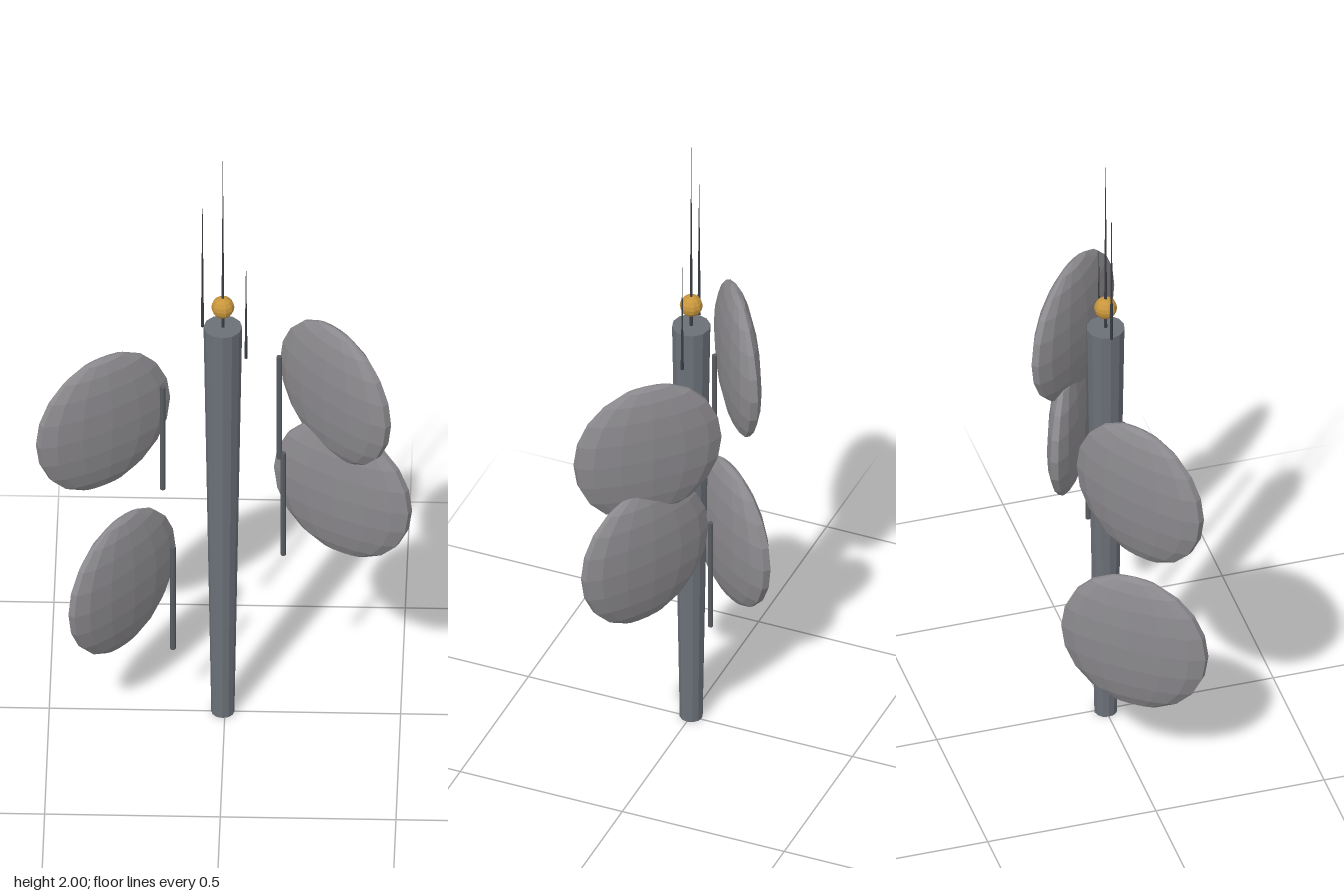
import * as THREE from 'three';

const material = (name, color) => {
  const m = new THREE.MeshStandardMaterial({ color, flatShading: true });
  m.name = name;
  return m;
};

export function createModel() {
  const group = new THREE.Group();
  const trunkGrey = material('blue grey', 0x6b7078);
  const discGrey = material('warm grey', 0x8b898d);
  const rodGrey = material('dark grey', 0x585b60);
  const needleGrey = material('charcoal', 0x3a3d42);
  const gold = material('gold', 0xc8963c);

  const add = (name, geometry, mat, x, y) => {
    const mesh = new THREE.Mesh(geometry, mat);
    mesh.name = name;
    mesh.position.set(x, y, 0);
    group.add(mesh);
    return mesh;
  };

  // Tapered trunk, wider at the top, with a ball floating above it
  const axis = -0.006;
  add('trunk', new THREE.CylinderGeometry(0.055, 0.033, 1.37, 12), trunkGrey, axis, 0.685);
  add('ball', new THREE.SphereGeometry(0.033, 10, 8), gold, axis, 1.44);

  // Needles tapering to a point: x, base height, length
  for (const [x, base, length] of [[axis, 1.37, 0.63], [-0.064, 1.37, 0.49], [0.06, 1.26, 0.36]]) {
    add('needle', new THREE.ConeGeometry(0.005, length, 6), needleGrey, x, base + length / 2);
  }

  // Flattened discs, each with an upright rod: disc x, height, turn in degrees, rod x
  const discGeometry = new THREE.SphereGeometry(0.2275, 14, 10).scale(0.22, 1, 1);
  const rodGeometry = new THREE.CylinderGeometry(0.008, 0.008, 0.362, 8);
  const discs = [
    [-0.347, 1.027, -55, -0.177],
    [-0.293, 0.458, -39, -0.148],
    [0.315, 1.143, 44, 0.155],
    [0.336, 0.8, 61, 0.166],
  ];
  for (const [x, y, turn, rodX] of discs) {
    add('disc', discGeometry, discGrey, x, y).rotation.y = THREE.MathUtils.degToRad(turn);
    add('rod', rodGeometry, rodGrey, rodX, y - 0.057);
  }

  return group;
}
